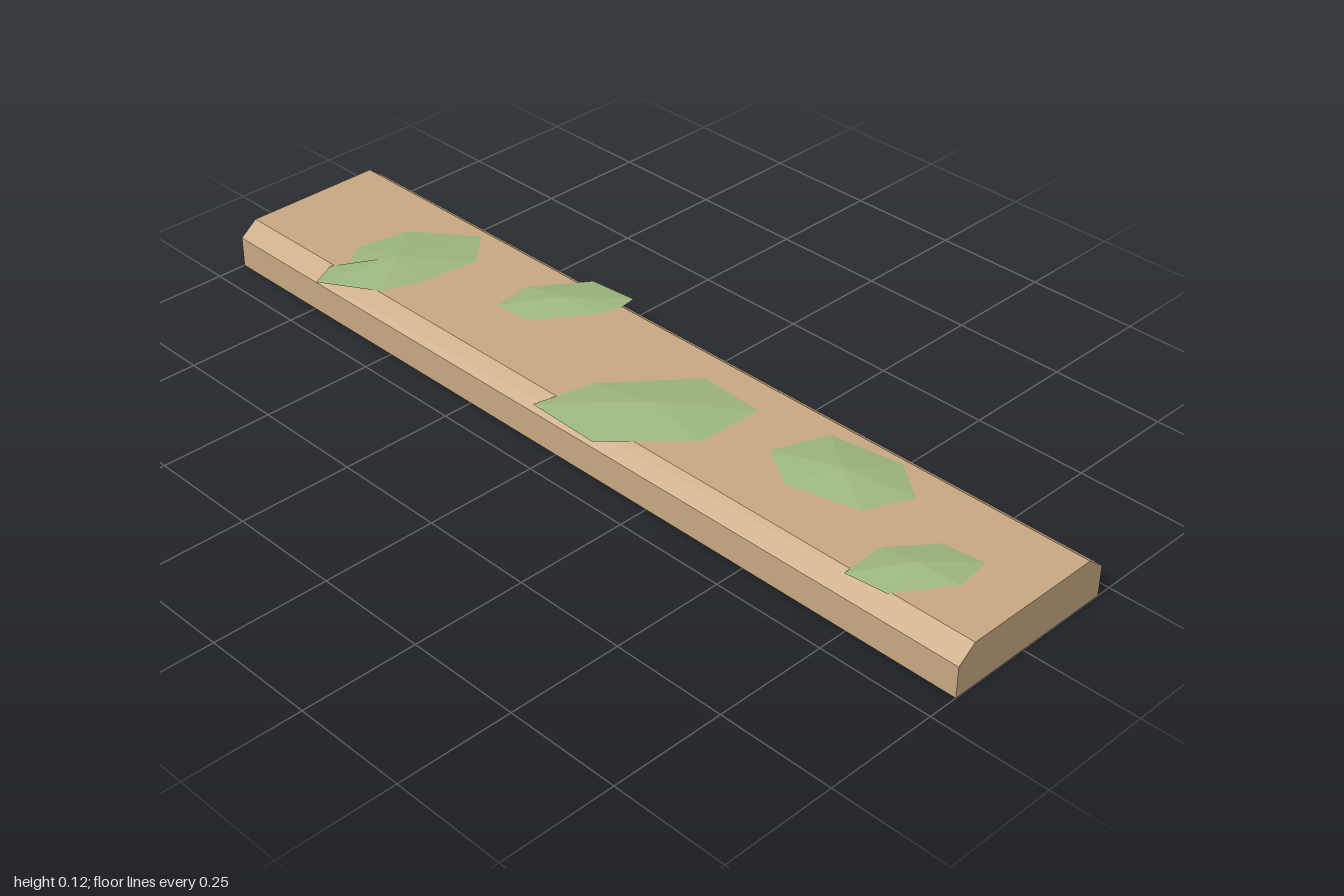
import * as THREE from 'three';

const wood = new THREE.MeshStandardMaterial({ color: 0xc8a882, flatShading: true });
wood.name = 'wood';
const moss = new THREE.MeshStandardMaterial({ color: 0x9db67e, flatShading: true });
moss.name = 'moss';

// Each patch: peak [x, z] and its outline, clockwise from above
const patches = [
  { peak: [-0.64, 0.04], rim: [[-0.6, -0.16], [-0.53, -0.08], [-0.55, 0.06], [-0.58, 0.14], [-0.7, 0.213], [-0.73, 0.15], [-0.71, 0.12], [-0.75, 0.06], [-0.73, -0.06]] },
  { peak: [-0.28, -0.1], rim: [[-0.3, -0.205], [-0.19, -0.215], [-0.185, -0.18], [-0.2, -0.12], [-0.28, -0.005], [-0.37, 0.005], [-0.38, -0.09]] },
  { peak: [0.12, 0.04], rim: [[0.12, -0.11], [0.27, -0.1], [0.265, 0.05], [0.18, 0.14], [0.12, 0.2], [-0.05, 0.195], [-0.02, 0.06]] },
  { peak: [0.52, -0.06], rim: [[0.42, -0.14], [0.58, -0.165], [0.665, -0.1], [0.62, 0], [0.47, 0.04], [0.375, -0.02]] },
  { peak: [0.8, 0.06], rim: [[0.785, -0.03], [0.875, -0.04], [0.885, 0.04], [0.81, 0.15], [0.72, 0.16], [0.715, 0.06]] },
];

// Shallow faceted mound: a fan up to the peak, closed by a flat fan below
function mossGeometry({ peak, rim }) {
  const baseY = 0.1, pos = [];
  const top = [peak[0], 0.116, peak[1]];
  const bottom = [peak[0], baseY, peak[1]];
  rim.forEach((p, i) => {
    const q = rim[(i + 1) % rim.length];
    const a = [p[0], baseY, p[1]], b = [q[0], baseY, q[1]];
    pos.push(...top, ...b, ...a, ...bottom, ...a, ...b);
  });
  const geo = new THREE.BufferGeometry();
  geo.setAttribute('position', new THREE.Float32BufferAttribute(pos, 3));
  geo.computeVertexNormals();
  return geo;
}

export function createModel() {
  const group = new THREE.Group();
  group.name = 'mossyPlank';

  // Plank: chamfered cross-section swept along x (shape x becomes -z)
  const section = new THREE.Shape([
    [-0.183, 0], [0.217, 0], [0.217, 0.069], [0.177, 0.1], [-0.143, 0.1], [-0.183, 0.069],
  ].map(([x, y]) => new THREE.Vector2(x, y)));
  const geo = new THREE.ExtrudeGeometry(section, { depth: 2, bevelEnabled: false });
  geo.translate(0, 0, -1).rotateY(Math.PI / 2);
  const plank = new THREE.Mesh(geo, wood);
  plank.name = 'plank';
  group.add(plank);

  // Moss patches on the top face
  patches.forEach((patch, i) => {
    const mesh = new THREE.Mesh(mossGeometry(patch), moss);
    mesh.name = `mossPatch${i + 1}`;
    group.add(mesh);
  });
  return group;
}
